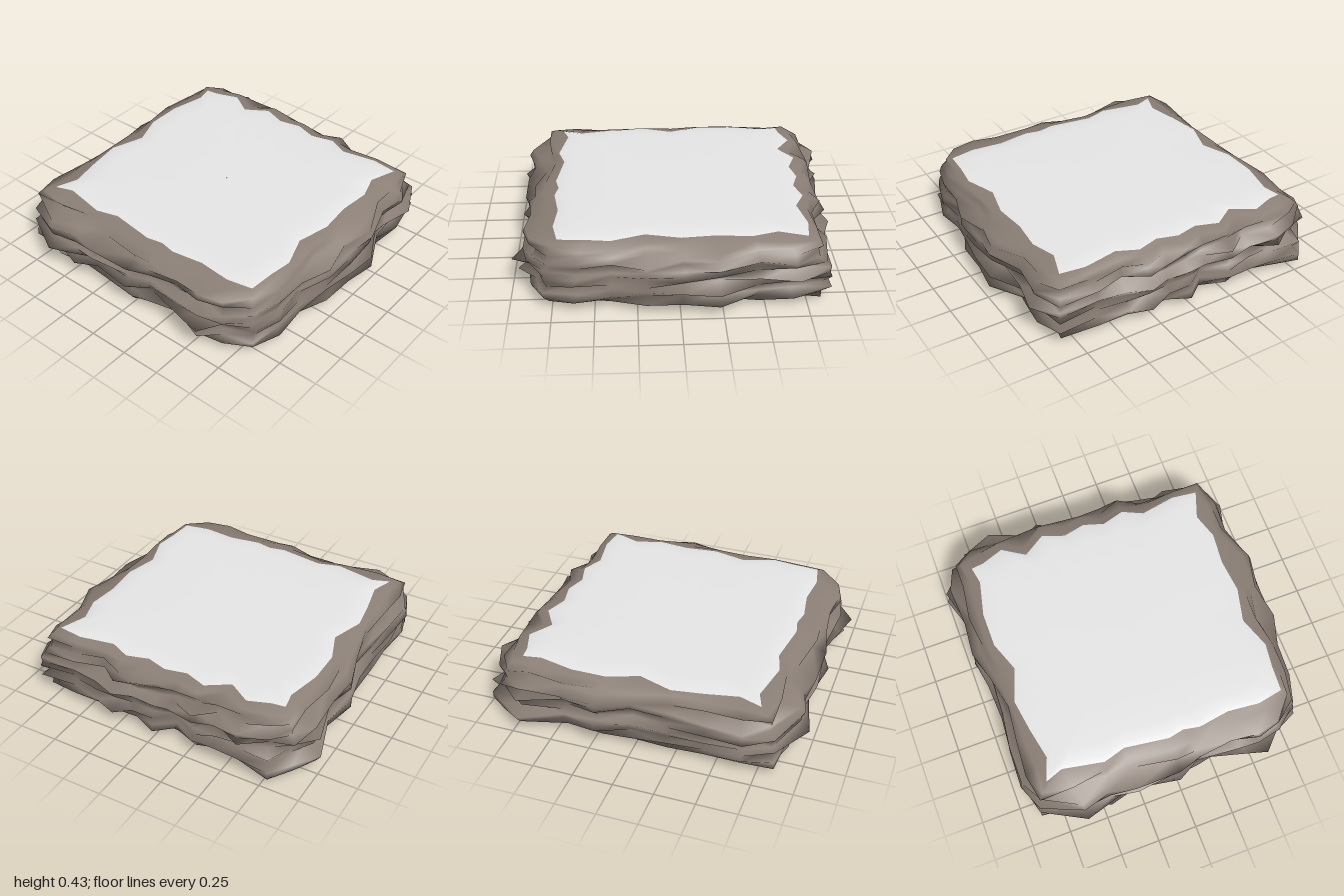
import * as THREE from 'three';

// Outline points (x, z), clockwise seen from above, starting at the back left corner
const LIP = [
  -0.74, -0.79, -0.60, -0.74, -0.40, -0.78, -0.20, -0.81, 0.01, -0.74, 0.20, -0.81, 0.42, -0.81, 0.64, -0.76,
  0.75, -0.78, 0.76, -0.70, 0.81, -0.56, 0.72, -0.42, 0.81, -0.28, 0.76, -0.14, 0.79, 0, 0.75, 0.13, 0.79, 0.27, 0.73, 0.40, 0.77, 0.62,
  0.75, 0.78, 0.58, 0.72, 0.42, 0.77, 0.22, 0.75, 0.01, 0.77, -0.20, 0.72, -0.40, 0.79, -0.55, 0.77,
  -0.71, 0.76, -0.74, 0.60, -0.72, 0.40, -0.75, 0.20, -0.73, 0.10, -0.75, 0, -0.71, -0.28, -0.75, -0.42, -0.70, -0.68,
];
const RIM = [
  -0.87, -0.90, -0.68, -0.96, -0.44, -0.94, -0.20, -0.92, 0.03, -0.94, 0.23, -0.97, 0.45, -0.95, 0.72, -1.0,
  0.87, -0.91, 0.98, -0.79, 1.0, -0.60, 0.96, -0.42, 0.97, -0.28, 0.95, -0.10, 0.95, 0, 0.94, 0.15, 0.96, 0.28, 0.92, 0.42, 0.89, 0.60,
  0.89, 0.86, 0.70, 0.96, 0.48, 0.90, 0.23, 1.0, 0.02, 0.98, -0.20, 0.95, -0.40, 0.92, -0.62, 0.90,
  -0.81, 0.85, -0.95, 0.72, -1.0, 0.58, -0.95, 0.42, -0.96, 0.15, -0.97, 0, -0.96, -0.28, -0.95, -0.45, -1.0, -0.62,
];
const COUNT = LIP.length / 2;

// Rock layers from top to bottom: height, reach from lip (0) to rim (1), roughness
const LAYERS = [
  [0.410, 0, 0], [0.394, 0.33, 0.12], [0.368, 0.52, 0.2], [0.335, 0.55, 0.27], [0.300, 0.7, 0.32],
  [0.270, 0.64, 0.32], [0.238, 0.76, 0.32], [0.207, 0.66, 0.32], [0.175, 0.8, 0.32], [0.140, 0.68, 0.32],
  [0.100, 0.82, 0.32], [0.058, 0.74, 0.3], [0.030, 0.45, 0.2], [0.014, 0.1, 0.2],
];

// Seeded noise in -1..1
let seed = 7;
function noise() {
  seed = (seed * 16807) % 2147483647;
  return (seed / 2147483647) * 2 - 1;
}

function rockRing([y, reach, rough]) {
  const ring = [];
  for (let i = 0; i < COUNT; i++) {
    const t = Math.min(1, reach + noise() * rough);
    ring.push([
      THREE.MathUtils.lerp(LIP[2 * i], RIM[2 * i], t),
      y + noise() * rough * 0.04,
      THREE.MathUtils.lerp(LIP[2 * i + 1], RIM[2 * i + 1], t),
    ]);
  }
  return ring;
}

// Shrinks a ring towards the middle at a new height
const insetRing = (ring, scale, y) => ring.map(([x, , z]) => [x * scale, y, z * scale]);

// Skins a stack of closed rings, ordered from top to bottom along the surface
function loft(rings) {
  const index = [];
  for (let r = 0; r < rings.length - 1; r++) {
    for (let i = 0; i < COUNT; i++) {
      const j = (i + 1) % COUNT;
      const a = r * COUNT + i, b = r * COUNT + j;
      const c = a + COUNT, d = b + COUNT;
      index.push(a, b, d, a, d, c);
    }
  }
  const geometry = new THREE.BufferGeometry();
  geometry.setAttribute('position', new THREE.Float32BufferAttribute(rings.flat(2), 3));
  geometry.setIndex(index);
  geometry.computeVertexNormals();
  return geometry;
}

export function createModel() {
  const rock = new THREE.MeshStandardMaterial({ color: 0x8b7f76 });
  rock.name = 'brown rock';
  const stone = new THREE.MeshStandardMaterial({ color: 0xe6e6e6 });
  stone.name = 'pale stone';

  const group = new THREE.Group();
  group.name = 'rockSlab';
  const add = (name, rings, material) => {
    const mesh = new THREE.Mesh(loft(rings), material);
    mesh.name = name;
    group.add(mesh);
  };

  // Rugged layered sides
  const sides = LAYERS.map(rockRing);
  add('rockSides', sides, rock);

  // Smooth faces that meet the ragged lips, softly rounded at the edge
  const top = sides[0], bottom = sides[sides.length - 1];
  add('topFace', [
    insetRing(top, 0.001, 0.425), insetRing(top, 0.6, 0.425), insetRing(top, 0.85, 0.423), insetRing(top, 0.95, 0.418), top,
  ], stone);
  add('bottomFace', [
    bottom, insetRing(bottom, 0.95, 0.006), insetRing(bottom, 0.85, 0.002), insetRing(bottom, 0.6, 0), insetRing(bottom, 0.001, 0),
  ], stone);

  return group;
}
